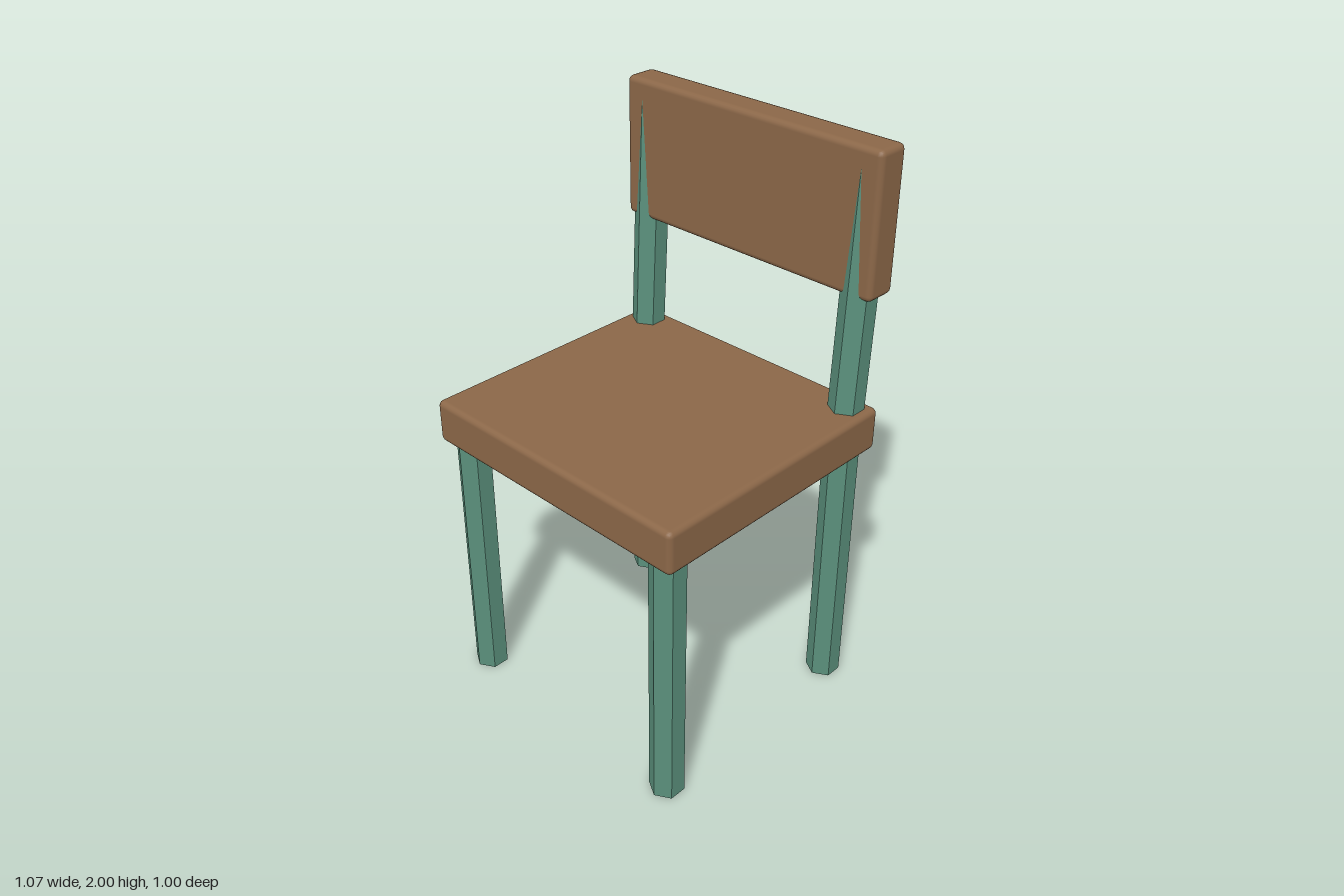
import * as THREE from 'three';
import { RoundedBoxGeometry } from 'three/addons/geometries/RoundedBoxGeometry.js';

export function createModel() {
  const group = new THREE.Group();
  group.name = 'chair';

  const wood = new THREE.MeshStandardMaterial({ color: 0x8b6748 });
  wood.name = 'brownWood';
  const paint = new THREE.MeshStandardMaterial({ color: 0x5a8f7b, flatShading: true });
  paint.name = 'greenPaint';

  // Softly bevelled board spanning the given limits
  function board(name, halfX, y0, y1, z0, z1) {
    const geometry = new RoundedBoxGeometry(halfX * 2, y1 - y0, z1 - z0, 2, 0.02);
    const mesh = new THREE.Mesh(geometry, wood);
    mesh.name = name;
    mesh.position.set(0, (y0 + y1) / 2, (z0 + z1) / 2);
    group.add(mesh);
  }

  // Six-sided bar between two points, with an edge facing the front
  function bar(name, from, to) {
    const axis = to.clone().sub(from);
    const mesh = new THREE.Mesh(new THREE.CylinderGeometry(0.06, 0.06, axis.length(), 6), paint);
    mesh.name = name;
    mesh.position.copy(from).add(to).multiplyScalar(0.5);
    mesh.rotation.x = Math.atan2(axis.z, axis.y);
    group.add(mesh);
  }

  board('seat', 0.533, 0.955, 1.11, -0.478, 0.5);
  board('backrest', 0.525, 1.513, 2, -0.5, -0.382);

  // Legs and leaning back posts on both sides
  for (const [side, x] of [['left', 0.453], ['right', -0.453]]) {
    const p = (y, z) => new THREE.Vector3(x, y, z);
    bar(side + 'FrontLeg', p(0, 0.425), p(1, 0.425));
    bar(side + 'BackLeg', p(0, -0.4), p(1, -0.4));
    bar(side + 'BackPost', p(1.02, -0.404), p(1.96, -0.443));
  }

  return group;
}
